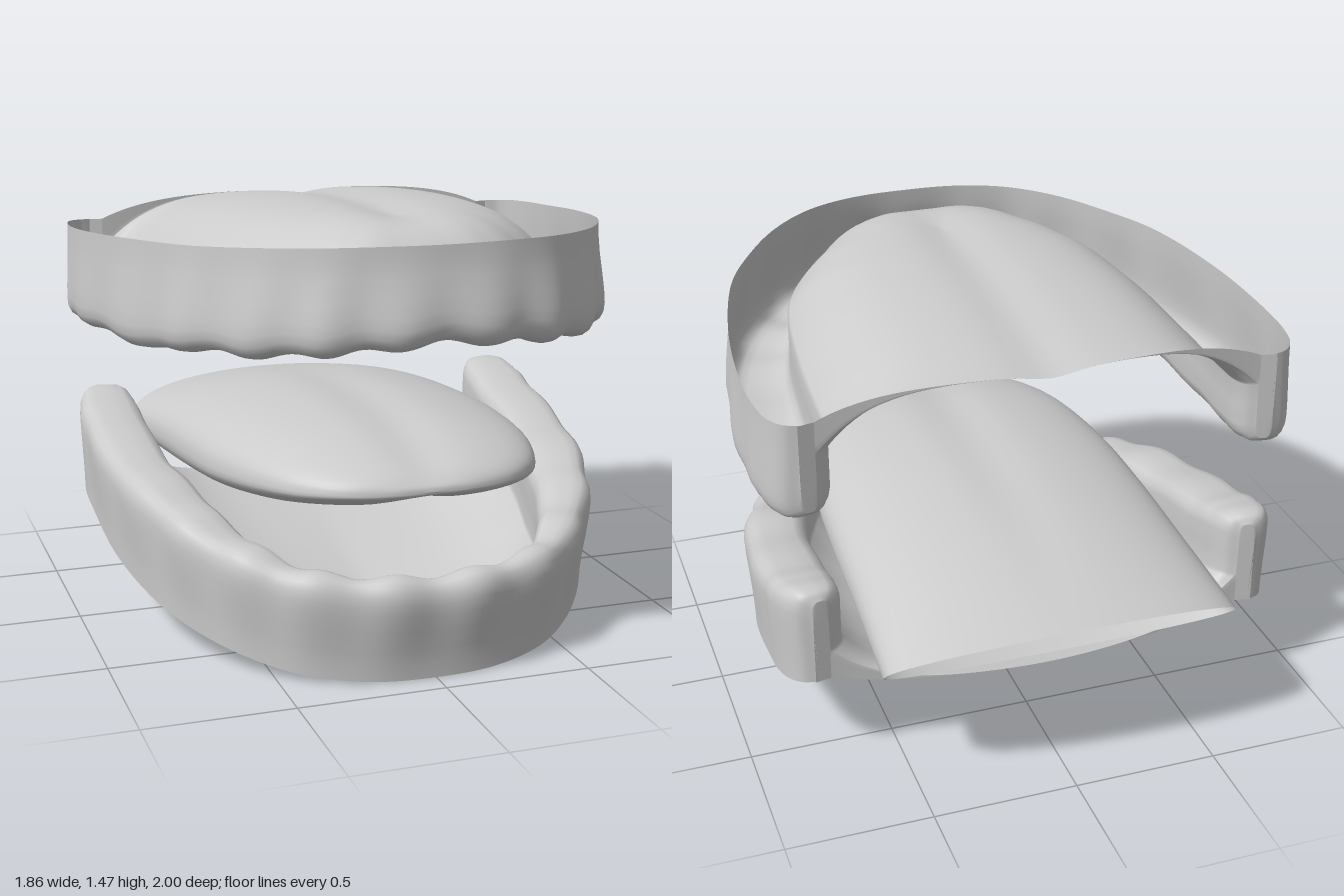
import * as THREE from 'three';
import { mergeVertices } from 'three/addons/utils/BufferGeometryUtils.js';

const material = new THREE.MeshStandardMaterial({ color: 0xcccccc, side: THREE.DoubleSide });
const { lerp, mapLinear, smoothstep } = THREE.MathUtils;

// Smooth surface through rows of points, welded where points coincide
function surface(name, rows) {
  const w = rows[0].length, index = [];
  for (let i = 0; i < rows.length - 1; i++)
    for (let j = 0; j < w - 1; j++) {
      const a = i * w + j, b = a + w;
      index.push(a, a + 1, b, b, a + 1, b + 1);
    }
  let geo = new THREE.BufferGeometry();
  geo.setAttribute('position', new THREE.Float32BufferAttribute(rows.flat(2), 3));
  geo.setIndex(index);
  geo = mergeVertices(geo, 1e-4);
  geo.computeVertexNormals();
  const mesh = new THREE.Mesh(geo, material);
  mesh.name = name;
  return mesh;
}

// Curve through a half arch (front to back) and its mirror image
function archCurve(half) {
  const right = half.slice(1).reverse().map(([x, z, y]) => new THREE.Vector3(-x, y, z));
  return new THREE.CatmullRomCurve3([...right, ...half.map(([x, z, y]) => new THREE.Vector3(x, y, z))]);
}

// Ridge section: [fraction across, fraction from rim to ridge, outward bulge]
const section = [
  [0, 0, 0], [0, 0.15, 0.1], [0, 0.3, 0.3], [0, 0.5, 0.65], [0, 0.66, 0.9], [0, 0.78, 1], [0.01, 0.87, 0.95],
  [0.05, 0.94, 0.75], [0.12, 0.98, 0.5], [0.25, 1, 0.2], [0.5, 1, 0], [0.75, 0.99, 0],
  [0.89, 0.95, 0], [0.97, 0.88, 0], [1, 0.8, 0],
];

// Gum: outer wall, scalloped ridge, closed back ends and a domed plate, all one sheet
function gum(name, rim, ridge, centreY, groove) {
  const outer = archCurve(rim), inner = archCurve(ridge), last = rim.length - 1;
  const zFront = ridge[0][1], zBack = ridge[last][1];
  const station = (t, cap) => {
    const o = outer.getPoint(t), n = inner.getPoint(t);
    const r = Math.abs(t * 2 - 1) * last;
    const fade = Math.max(0, 1 - r / 8);
    const bump = -Math.cos((2 * Math.PI * r) / 1.2);
    const dir = new THREE.Vector3(o.x - n.x, 0, o.z - n.z).normalize();
    const bulge = 0.01 + 0.035 * fade + 0.01 * bump * Math.sqrt(fade);
    const ridgeY = n.y + Math.sign(n.y - o.y) * 0.011 * bump * Math.sqrt(fade);
    // the steep inner wall reaches further along the sides than at the front
    const wall = lerp(0.7, 0.35, smoothstep(r, 1, 5));
    const row = [...section, [1, (0.8 + wall) / 2, 0], [1, wall, 0]].map(([f, g, b]) => [
      lerp(o.x, n.x, f) + dir.x * bulge * b,
      lerp(lerp(o.y, ridgeY, g), o.y, cap),
      lerp(o.z, n.z, f) + dir.z * bulge * b,
    ]);
    // plate running from the inner wall to the centre line
    const base = row[row.length - 1][1];
    const zc = mapLinear(n.z, zFront, zBack, 0.44, -0.69);
    for (let k = 1; k <= 20; k++) {
      const u = Math.pow(k / 20, 1.4), x = n.x * (1 - u);
      const z = lerp(n.z, zc, lerp(u, smoothstep(u, 0, 1), r / last));
      const y = lerp(base, centreY(zc), 1 - Math.pow(1 - u, 4.4));
      row.push([x, y - groove * u * Math.exp(-((x / 0.11) ** 2)), z]);
    }
    return row;
  };
  const rows = [station(0, 1), station(0, 0.6), station(0, 0.25)];
  for (let i = 0; i <= 220; i++) rows.push(station(i / 220, 0));
  rows.push(station(1, 0.25), station(1, 0.6), station(1, 1));
  return surface(name, rows);
}

function upperGum() {
  const rim = [
    [0, 0.955, 1.43], [0.22, 0.935, 1.43], [0.4, 0.87, 1.425], [0.56, 0.74, 1.415], [0.7, 0.55, 1.40],
    [0.8, 0.35, 1.39], [0.885, 0, 1.365], [0.915, -0.32, 1.34], [0.908, -0.5, 1.33], [0.885, -0.59, 1.325],
    [0.85, -0.632, 1.322], [0.8, -0.65, 1.32],
  ];
  const ridge = [
    [0, 0.885, 1.12], [0.2, 0.87, 1.105], [0.35, 0.81, 1.09], [0.47, 0.66, 1.07], [0.56, 0.48, 1.06],
    [0.62, 0.3, 1.03], [0.665, 0, 1.02], [0.685, -0.32, 1.0], [0.69, -0.5, 0.99], [0.7, -0.58, 0.985],
    [0.722, -0.618, 0.99], [0.755, -0.64, 1.01],
  ];
  return gum('upperGum', rim, ridge, z => 1.475 - 0.08 * (z - 0.3) ** 2, 0.022);
}

function lowerGum() {
  const rim = [
    [0, 0.91], [0.22, 0.89], [0.42, 0.81], [0.57, 0.68], [0.7, 0.5], [0.79, 0.3],
    [0.86, 0], [0.88, -0.32], [0.88, -0.48], [0.86, -0.57], [0.828, -0.615], [0.78, -0.635],
  ].map(([x, z]) => [x, z, 0.003 + (0.91 - z) * 0.23]);
  const ridge = [
    [0, 0.86, 0.345], [0.2, 0.845, 0.355], [0.36, 0.77, 0.37], [0.47, 0.63, 0.41], [0.55, 0.45, 0.46],
    [0.6, 0.25, 0.52], [0.65, 0, 0.57], [0.665, -0.32, 0.635], [0.67, -0.48, 0.675], [0.68, -0.56, 0.695],
    [0.7, -0.6, 0.69], [0.735, -0.625, 0.665],
  ];
  const floorY = z => {
    const d = Math.max(0, 0.45 - z);
    return 0.038 + (0.27 * d * d) / (d + 0.2);
  };
  return gum('lowerGum', rim, ridge, floorY, 0);
}

// Tongue: rounded tip, centre groove, open slanted back
function tongue() {
  // z of edge, half width, then y of edge, top and underside
  const rows = [
    [0.87, 0, 0.62, 0.62, 0.62], [0.86, 0.15, 0.62, 0.65, 0.6], [0.81, 0.3, 0.62, 0.69, 0.58],
    [0.7, 0.42, 0.615, 0.73, 0.545], [0.5, 0.51, 0.6, 0.768, 0.495], [0.2, 0.57, 0.57, 0.777, 0.44],
    [-0.1, 0.59, 0.545, 0.76, 0.395], [-0.45, 0.6, 0.515, 0.715, 0.355], [-0.85, 0.615, 0.48, 0.625, 0.33],
  ];
  const curveA = new THREE.CatmullRomCurve3(rows.map(r => new THREE.Vector3(r[0], r[1], r[2])));
  const curveB = new THREE.CatmullRomCurve3(rows.map(r => new THREE.Vector3(r[0], r[3], r[4])), false, 'catmullrom');
  const grid = [];
  for (let i = 0; i <= 64; i++) {
    const t = i / 64, a = curveA.getPoint(t), b = curveB.getPoint(t), loop = [];
    for (let j = 0; j <= 64; j++) {
      const ang = (j / 64) * Math.PI * 2, s = Math.sin(ang);
      const h = Math.pow(Math.abs(s), 0.85), top = s >= 0;
      const x = a.y * Math.cos(ang);
      const dip = (top ? 0.02 : -0.02) * h * Math.exp(-((x / 0.1) ** 2)) * Math.sin(Math.PI * t);
      const slant = t * t * (top ? -0.15 : 0.17) * h;
      loop.push([x, lerp(a.z, top ? b.y : b.z, h) - dip, a.x + slant]);
    }
    grid.push(loop);
  }
  return surface('tongue', grid);
}

export function createModel() {
  const model = new THREE.Group();
  model.name = 'mouth';
  model.add(upperGum(), lowerGum(), tongue());
  return model;
}
